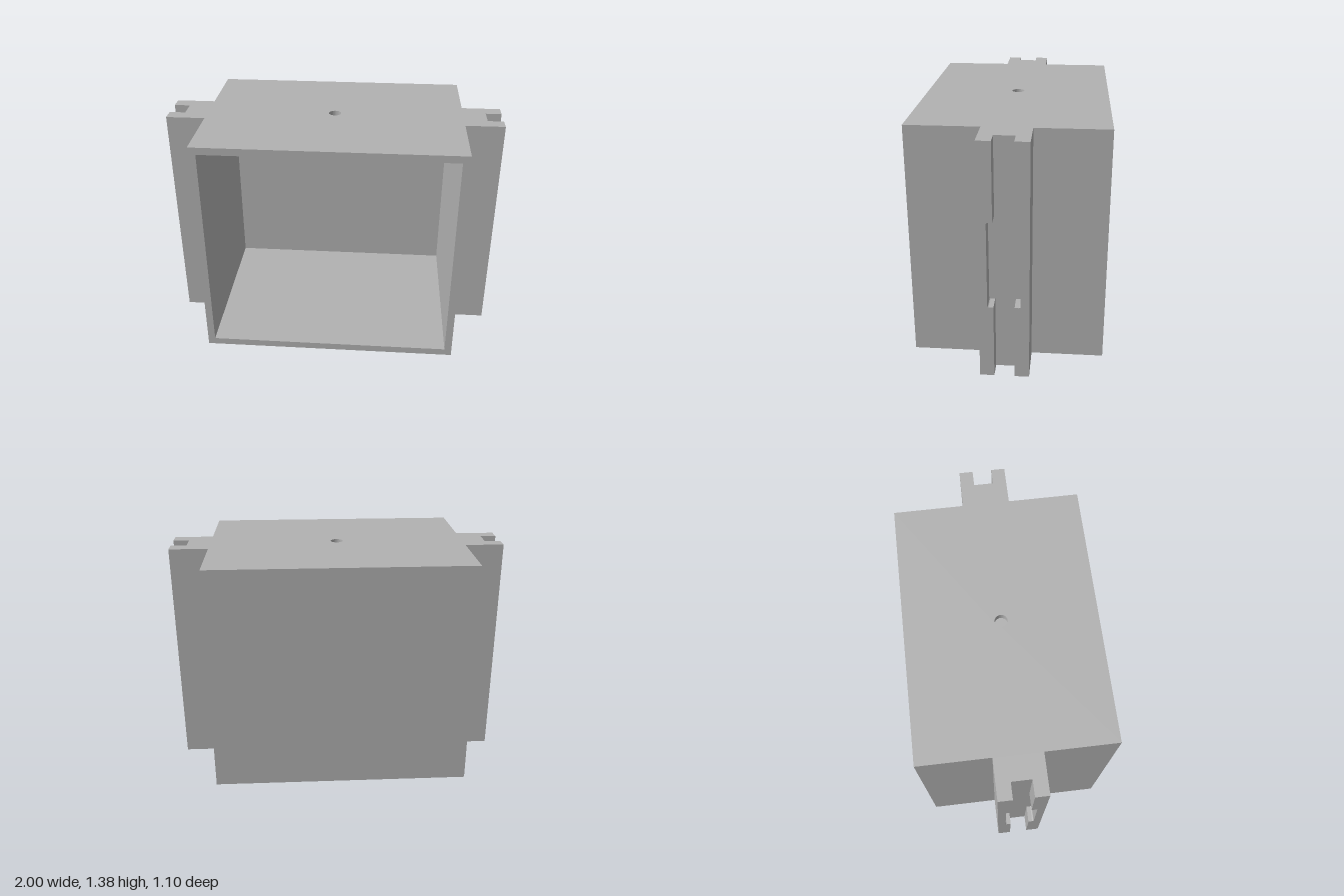
import * as THREE from 'three';

const W = 0.768, H = 1.375, D = 0.55;    // half width, height, half depth of the case
const WALL = 0.043;                      // wall thickness
const RAIL = 0.137, FLOOR = 0.905;       // rail half width, x of the groove floor
const GROOVE = 0.057, POCKET = 0.09;     // half widths of groove and pocket
const P0 = 0.44, P1 = 0.938, R = 0.01;   // pocket bottom, top and corner radius

export function createModel() {
  const grey = new THREE.MeshStandardMaterial({ color: 0xb2b2b2 });
  grey.name = 'grey';
  const model = new THREE.Group();
  model.name = 'mountedCase';

  const add = (parent, name, geometry) => {
    const mesh = new THREE.Mesh(geometry, grey);
    mesh.name = name;
    parent.add(mesh);
  };
  // Box given by its opposite corners
  const box = (parent, name, x0, x1, y0, y1, z0, z1) => add(parent, name,
    new THREE.BoxGeometry(x1 - x0, y1 - y0, z1 - z0)
      .translate((x0 + x1) / 2, (y0 + y1) / 2, (z0 + z1) / 2));

  // Case, open at the front
  const top = H - WALL;
  box(model, 'floor', -W, W, 0, WALL, -D, D);
  box(model, 'leftWall', W - WALL, W, WALL, top, -D, D);
  box(model, 'rightWall', -W, -W + WALL, WALL, top, -D, D);
  box(model, 'backWall', -W + WALL, W - WALL, WALL, top, -D, -D + WALL);

  // Top plate with a small round hole
  const plate = new THREE.Shape([[-W, -D], [W, -D], [W, D], [-W, D]]
    .map(([x, y]) => new THREE.Vector2(x, y)));
  plate.holes.push(new THREE.Path().absarc(0, 0, 0.037, 0, Math.PI * 2, true));
  add(model, 'topPlate', new THREE.ExtrudeGeometry(plate,
    { depth: WALL, bevelEnabled: false, curveSegments: 16 })
    .rotateX(-Math.PI / 2).translate(0, top, 0));

  // Flange outline with a round-cornered pocket cut from the groove side
  const outline = new THREE.Shape();
  outline.moveTo(GROOVE, 0);
  outline.lineTo(RAIL, 0);
  outline.lineTo(RAIL, H);
  outline.lineTo(GROOVE, H);
  outline.lineTo(GROOVE, P1);
  outline.lineTo(POCKET - R, P1);
  outline.quadraticCurveTo(POCKET, P1, POCKET, P1 - R);
  outline.lineTo(POCKET, P0 + R);
  outline.quadraticCurveTo(POCKET, P0, POCKET - R, P0);
  outline.lineTo(GROOVE, P0);
  outline.closePath();

  // Slotted rail on each side
  for (const [name, angle] of [['leftRail', 0], ['rightRail', Math.PI]]) {
    const rail = new THREE.Group();
    rail.name = name;
    box(rail, 'railBase', W, FLOOR, 0, H, -RAIL, RAIL);
    const flange = new THREE.ExtrudeGeometry(outline,
      { depth: 1 - FLOOR, bevelEnabled: false, curveSegments: 4 })
      .rotateY(Math.PI / 2).translate(FLOOR, 0, 0);
    add(rail, 'backFlange', flange);
    // Turned half round about x, then lifted back, to face the other flange
    add(rail, 'frontFlange', flange.clone().rotateX(Math.PI).translate(0, P0 + P1, 0)
      .translate(0, H - P0 - P1, 0));
    rail.rotation.y = angle;
    model.add(rail);
  }
  return model;
}
